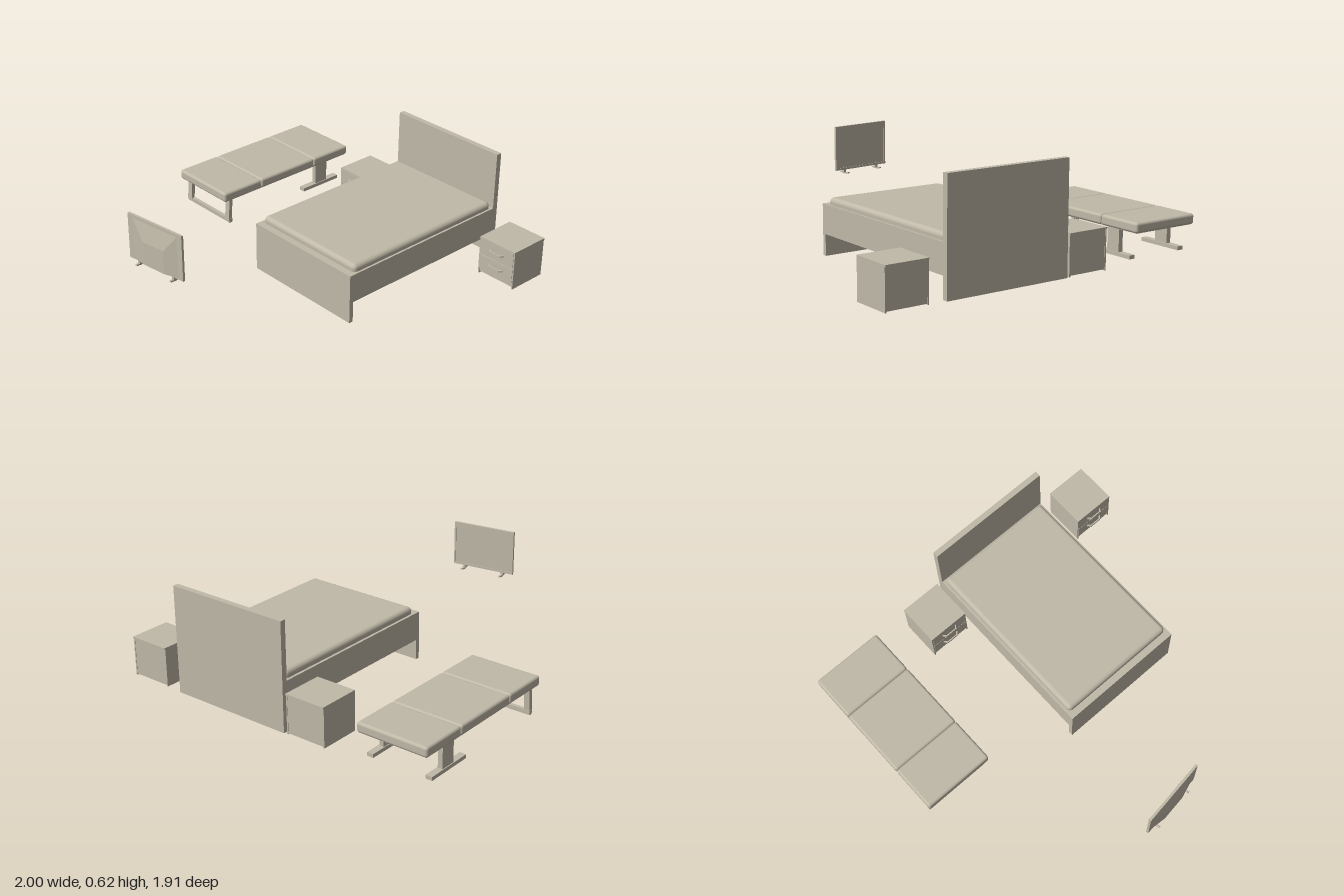
import * as THREE from 'three';
import { RoundedBoxGeometry } from 'three/addons/geometries/RoundedBoxGeometry.js';

const stone = new THREE.MeshStandardMaterial({ color: 0xc0b9a8 });
stone.name = 'warm stone';

function add(parent, name, geometry) {
  const mesh = new THREE.Mesh(geometry, stone);
  mesh.name = name;
  parent.add(mesh);
  return mesh;
}

// Box given by its limits on each axis; a radius rounds it
function block(parent, name, [x0, x1], [y0, y1], [z0, z1], radius = 0) {
  const size = [x1 - x0, y1 - y0, z1 - z0];
  const g = radius ? new RoundedBoxGeometry(...size, 4, radius) : new THREE.BoxGeometry(...size);
  const mesh = add(parent, name, g);
  mesh.position.set((x0 + x1) / 2, (y0 + y1) / 2, (z0 + z1) / 2);
  return mesh;
}

function group(parent, name) {
  const g = new THREE.Group();
  g.name = name;
  parent.add(g);
  return g;
}

function makeBed(root) {
  const bed = group(root, 'bed');
  block(bed, 'headboard', [-0.1, 0.65], [0, 0.62], [-0.95, -0.917]);
  block(bed, 'footboard', [-0.1, 0.65], [0, 0.285], [0.165, 0.19]);
  block(bed, 'bedBase', [-0.1, 0.65], [0.12, 0.285], [-0.917, 0.165]);
  block(bed, 'mattress', [-0.085, 0.638], [0.25, 0.325], [-0.907, 0.15], 0.025);
}

// Bow handle: trapezoid outline in plan, hollow behind the bar
function handleGeometry() {
  const plan = [[-0.052, 0], [-0.036, 0.021], [0.036, 0.021], [0.052, 0],
    [0.044, 0], [0.032, 0.014], [-0.032, 0.014], [-0.044, 0]];
  const shape = new THREE.Shape(plan.map(([x, z]) => new THREE.Vector2(x, z)));
  const g = new THREE.ExtrudeGeometry(shape, { depth: 0.012, bevelEnabled: false });
  return g.rotateX(Math.PI / 2).translate(0, 0.006, 0);
}

function makeNightstand(root, x) {
  const stand = group(root, 'nightstand');
  stand.position.x = x;
  const w = 0.124;
  block(stand, 'top', [-w, w], [0.22, 0.23], [-0.95, -0.702]);
  for (const s of [-1, 1]) {
    const side = block(stand, 'sidePanel', [-0.004, 0.004], [0, 0.22], [-0.945, -0.704]);
    side.position.x = s * (w - 0.004);
  }
  block(stand, 'carcass', [-w + 0.008, w - 0.008], [0.006, 0.22], [-0.943, -0.715]);
  for (const [y0, y1] of [[0.037, 0.121], [0.125, 0.218]]) {
    block(stand, 'drawerFront', [-w + 0.009, w - 0.009], [y0, y1], [-0.715, -0.703]);
    add(stand, 'drawerHandle', handleGeometry()).position.set(0, (y0 + y1) / 2 + 0.003, -0.703);
  }
  block(stand, 'plinth', [-w + 0.008, w - 0.008], [0.012, 0.034], [-0.716, -0.708]);
}

function makeBench(root) {
  const bench = group(root, 'couch');
  // Three cushions on one board
  const cuts = [-0.95, -0.671, -0.251, 0.03];
  for (let i = 0; i < 3; i++) {
    block(bench, 'cushion', [-1, -0.573], [0.164, 0.222], [cuts[i], cuts[i + 1]], 0.015);
  }
  block(bench, 'board', [-0.99, -0.583], [0.163, 0.2], [-0.94, 0.02]);
  // Front frame: two slightly raked legs joined by a floor bar
  for (const x of [-0.965, -0.608]) {
    const leg = block(bench, 'frontLeg', [x - 0.018, x + 0.018], [0.025, 0.17], [-0.035, -0.013]);
    leg.rotation.x = -0.07;
  }
  block(bench, 'frontFloorBar', [-0.985, -0.588], [0.011, 0.035], [-0.033, -0.012]);
  // Rear supports: plate legs on feet running front to back
  for (const x of [-0.965, -0.608]) {
    block(bench, 'rearLeg', [x - 0.014, x + 0.014], [0.025, 0.17], [-0.795, -0.705]);
    block(bench, 'rearFoot', [x - 0.019, x + 0.019], [0.012, 0.033], [-0.885, -0.605]);
  }
}

function makeScreen(root) {
  const tv = group(root, 'television');
  tv.position.set(-0.043, 0, 0.907);
  tv.rotation.y = 0.138;
  const w = 0.194;
  block(tv, 'panel', [-w, w], [0.308, 0.572], [-0.004, 0.006]);
  // Bezel around the recessed display, which faces the bed
  for (const s of [-1, 1]) {
    block(tv, 'bezelSide', [-0.005, 0.005], [0.308, 0.572], [-0.008, -0.004]).position.x = s * (w - 0.005);
  }
  block(tv, 'bezelTop', [-w + 0.01, w - 0.01], [0.562, 0.572], [-0.008, -0.004]);
  block(tv, 'bezelBottom', [-w + 0.01, w - 0.01], [0.308, 0.32], [-0.008, -0.004]);
  // Rear housing: box whose outer face is drawn in at the top and sides
  const g = new THREE.BoxGeometry(0.32, 0.24, 0.018).toNonIndexed();
  const p = g.attributes.position;
  for (let i = 0; i < p.count; i++) {
    if (p.getZ(i) > 0) {
      p.setX(i, p.getX(i) * 0.47);
      if (p.getY(i) > 0) p.setY(i, 0.015);
    }
  }
  g.computeVertexNormals();
  add(tv, 'rearHousing', g).position.set(0, 0.435, 0.015);
  // Splayed feet
  for (const x of [-0.125, 0.125]) {
    block(tv, 'footPost', [x - 0.007, x + 0.007], [0.288, 0.325], [-0.006, 0.01]);
    for (const s of [-1, 1]) {
      const toe = block(tv, 'footToe', [x - 0.006, x + 0.006], [0.287, 0.295], [-0.022, 0.022]);
      toe.position.z = s < 0 ? -0.02 : 0.008;
      toe.rotation.x = s * -0.12;
    }
  }
}

export function createModel() {
  const root = new THREE.Group();
  root.name = 'bedroomSet';
  makeBed(root);
  makeNightstand(root, -0.241);
  makeNightstand(root, 0.875);
  makeBench(root);
  makeScreen(root);
  return root;
}
